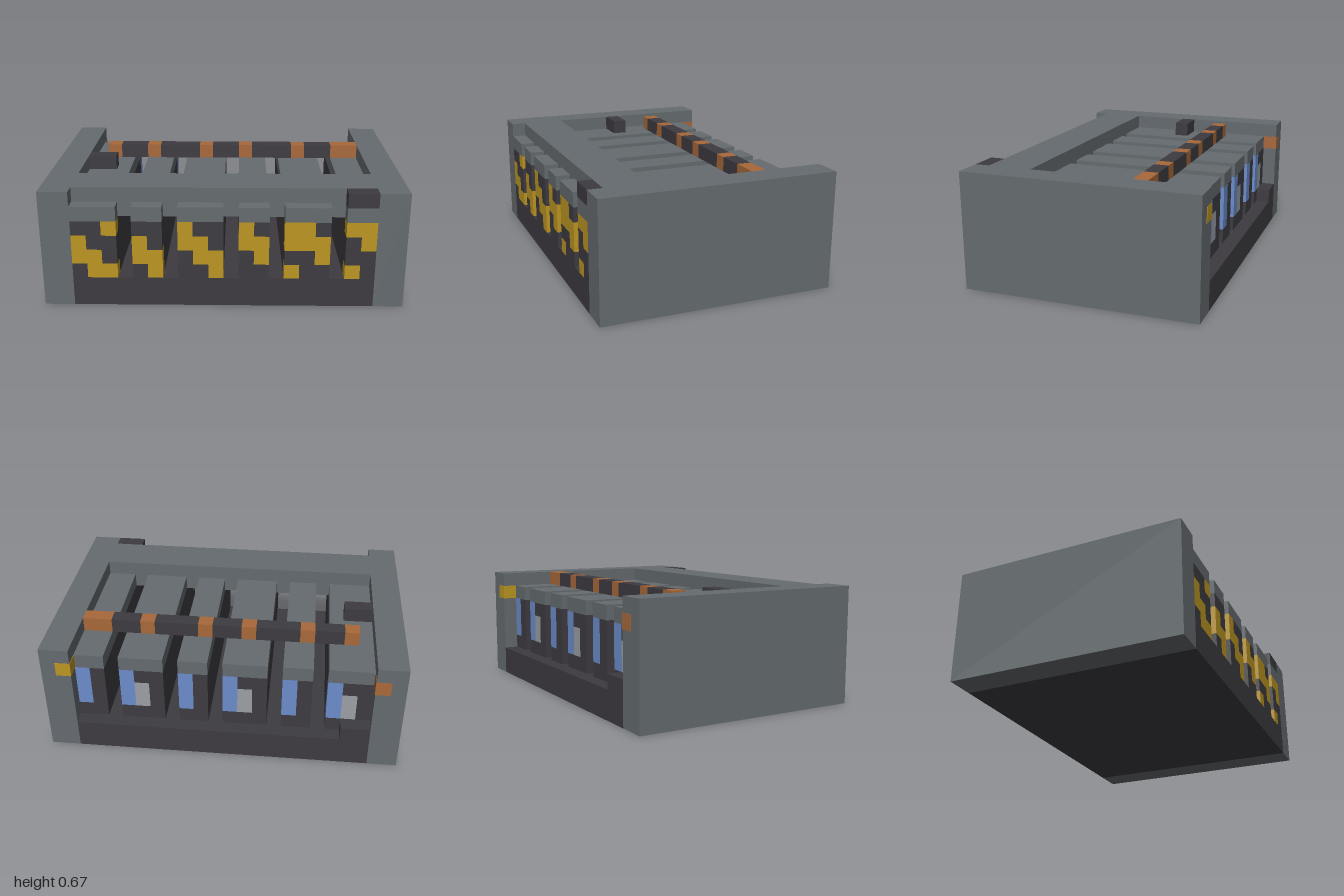
import * as THREE from 'three';

const U = 1 / 12; // one grid block

function material(name, color) {
  const m = new THREE.MeshStandardMaterial({ color });
  m.name = name;
  return m;
}

export function createModel() {
  const model = new THREE.Group();
  model.name = 'ventUnit';
  const grey = material('steelGrey', 0x656b6f);
  const dark = material('charcoal', 0x3d3b40);
  const yellow = material('hazardYellow', 0xbc9522);
  const orange = material('copperOrange', 0xa8683a);
  const blue = material('panelBlue', 0x6b8cca);
  const pale = material('paleGrey', 0x9b9fa3);

  // Box from block coordinates: [from, to] on each axis
  function block(name, mat, [x0, x1], [y0, y1], [z0, z1], parent = model) {
    const geo = new THREE.BoxGeometry((x1 - x0) * U, (y1 - y0) * U, (z1 - z0) * U);
    const mesh = new THREE.Mesh(geo, mat);
    mesh.position.set((x0 + x1) / 2 * U, (y0 + y1) / 2 * U, (z0 + z1) / 2 * U);
    mesh.name = name;
    parent.add(mesh);
  }

  // Casing: floor, side walls and front beam
  block('base', dark, [-10, 10], [0, 2], [-8, 8]);
  block('rightWall', grey, [-12, -10], [0, 8], [-8, 8]);
  block('leftWall', grey, [10, 12], [0, 8], [-8, 8]);
  block('frontBeam', grey, [-10, 10], [6, 8], [4, 7]);

  // Slats: x range, front stripe rows and back panel rows, listed from top to bottom
  const paint = { Y: yellow, D: dark, B: blue, P: pale };
  const wideBack = ['DDB', 'DPB', 'DPB', 'DDD'];
  const narrowBack = ['DB', 'DB', 'DB', 'DD'];
  const slats = [
    [-10, -7, ['DDY', 'YDD', 'YYD', 'DYY']],
    [-6, -4, ['DD', 'YD', 'YY', 'DY']],
    [-3, 0, ['YDD', 'YYD', 'DYY', 'DDY']],
    [1, 3, ['YD', 'YY', 'DY', 'DD']],
    [4, 7, ['YYD', 'YYY', 'DDY', 'YDD']],
    [8, 10, ['YY', 'DY', 'DD', 'YD']],
  ];
  for (const [x0, x1, front] of slats) {
    const slat = new THREE.Group();
    slat.name = 'slat';
    model.add(slat);
    block('slatBody', dark, [x0, x1], [2, 6], [-6, 7], slat);
    block('slatCap', grey, [x0, x1], [6, 7], [-7, 8], slat);
    const back = x1 - x0 === 3 ? wideBack : narrowBack;
    for (const [name, rows, z] of [['frontStripe', front, 7], ['backPanel', back, -7]]) {
      rows.forEach((row, r) => [...row].forEach((c, i) =>
        block(name, paint[c], [x0 + i, x0 + i + 1], [5 - r, 6 - r], [z, z + 1], slat)));
    }
  }

  // Cross rod resting on the slats, with copper rings
  const rings = [[-9, -8], [-6, -5], [-2, -1], [1, 2], [5, 6], [8, 10]];
  rings.forEach((ring, i) => {
    block('rodRing', orange, ring, [7, 8], [-4, -3]);
    if (i) block('rodSection', dark, [rings[i - 1][1], ring[0]], [7, 8], [-4, -3]);
  });

  // Small dark fittings
  block('innerLatch', dark, [-10, -8], [7, 8], [-1, 0]);
  block('frontLatch', dark, [8, 10], [7, 8], [7, 8]);
  block('rearStep', dark, [-10, -8], [2, 3], [-8, -7]);

  // Rear marker lights wrapping the inner wall corners
  const e = 0.03;
  block('leftMarker', yellow, [10 - e, 11], [6, 7], [-8 - e, -7]);
  block('rightMarker', orange, [-11, -10 + e], [6, 7], [-8 - e, -7]);

  return model;
}
